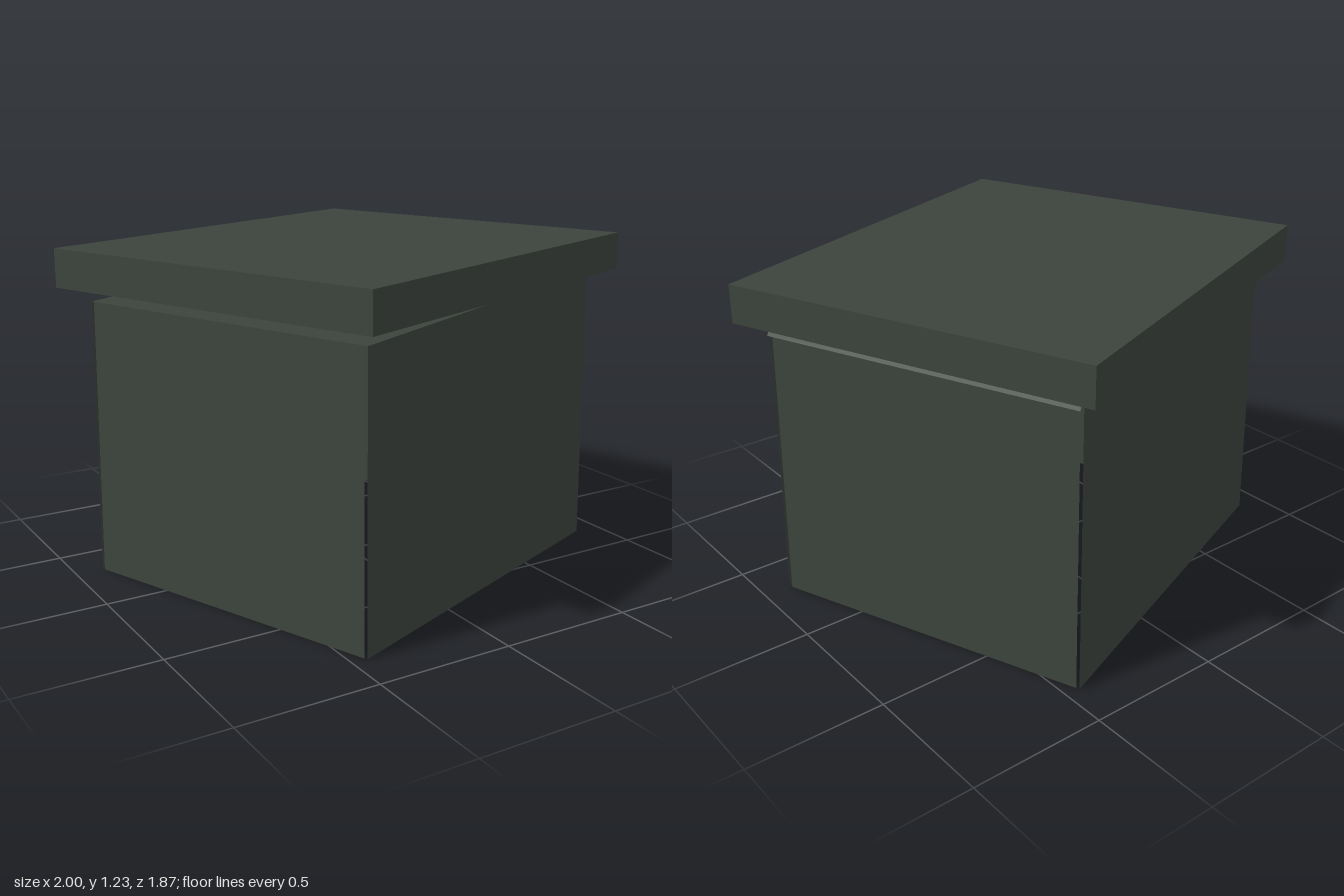
import * as THREE from 'three';

const darkGreen = new THREE.MeshStandardMaterial({ color: 0x3c433c, side: THREE.DoubleSide });
darkGreen.name = 'darkGreyGreen';

// Flat sheet from four corners, listed counter-clockwise seen from outside.
// The fold runs from the first corner to the third.
function sheet(name, a, b, c, d) {
  const g = new THREE.BufferGeometry();
  g.setAttribute('position', new THREE.Float32BufferAttribute([a, b, c, a, c, d].flat(), 3));
  g.computeVertexNormals();
  const m = new THREE.Mesh(g, darkGreen);
  m.name = name;
  return m;
}

export function createModel() {
  const group = new THREE.Group();
  group.name = 'liddedBox';
  const box = new THREE.Group();
  box.name = 'turnedBox';
  box.rotation.y = 0.372;
  group.add(box);

  const W = 0.72, D = 0.62;     // half sizes of the body at the ground
  const w = 0.712, d = 0.612;   // half sizes at the top of the walls
  const low = 1.022, high = 1.07;
  const gap = 0.012;            // open slit at the corners

  // Long walls, their tops rising towards +x
  box.add(
    sheet('frontWall', [-W, 0, D], [W, 0, D], [w, high, d], [-w, low, d]),
    sheet('backWall', [W, 0, -D], [-W, 0, -D], [-w, low, -d], [w, high, -d])
  );

  // Short walls, stopping just short of the long ones
  box.add(
    sheet('leftWall', [W, 0, D - gap], [W, 0, gap - D], [w, high, gap - d], [w, high, d - gap]),
    sheet('rightWall', [-W, 0, gap - D], [-W, 0, D - gap], [-w, low, d - gap], [-w, low, gap - d])
  );

  // Sloping inner cover and the small lip flaring out beneath the lid
  box.add(
    sheet('innerCover', [-w, low, d], [w, high, d], [w, high, -d], [-w, low, -d]),
    sheet('lip', [W + 0.018, 1.027, d - gap], [W + 0.018, 1.027, -d], [w, high, -d], [w, high, d - gap])
  );

  // Overhanging lid slab
  const lid = new THREE.Mesh(new THREE.BoxGeometry(1.6, 0.14, 1.388), darkGreen);
  lid.name = 'lid';
  lid.position.y = 1.145;
  box.add(lid);

  // Thin panel on the lid, folded along its diagonal
  box.add(sheet('lidPanel', [-0.695, 1.23, 0.6], [0.695, 1.216, 0.6], [0.695, 1.23, -0.6], [-0.695, 1.216, -0.6]));

  return group;
}
